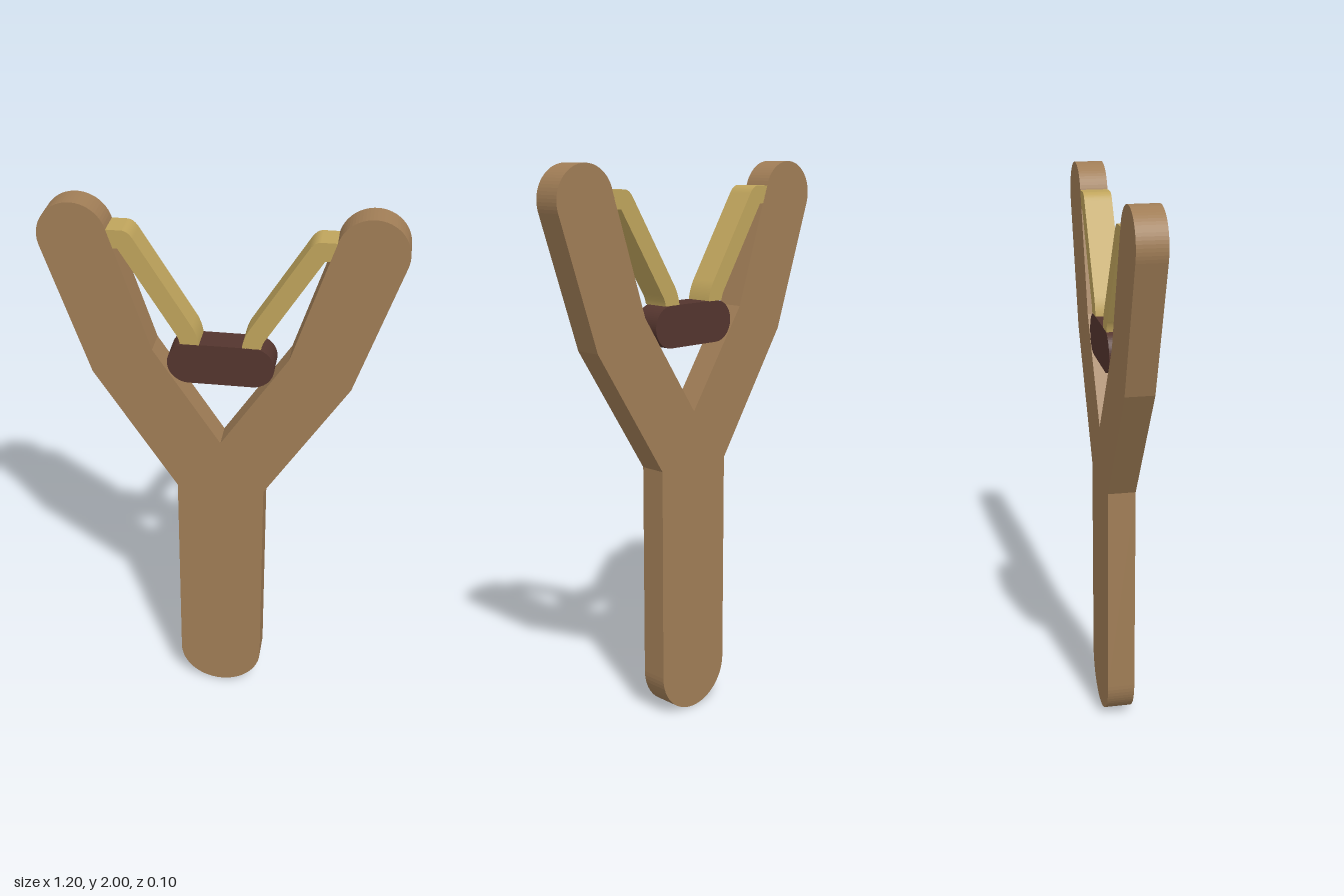
import * as THREE from 'three';

const DEPTH = 0.1;

export function createModel() {
  const model = new THREE.Group();
  model.name = 'slingshot';

  const wood = new THREE.MeshStandardMaterial({ name: 'wood', color: 0xa07d56 });
  const rubber = new THREE.MeshStandardMaterial({ name: 'rubber', color: 0xbfa45c });
  const leather = new THREE.MeshStandardMaterial({ name: 'leather', color: 0x54352e });

  // Every part is a flat plate of the same thickness, centred on z = 0
  function addPlate(name, shape, material) {
    const geometry = new THREE.ExtrudeGeometry(shape, { depth: DEPTH, bevelEnabled: false, curveSegments: 16 });
    geometry.translate(0, 0, -DEPTH / 2);
    const mesh = new THREE.Mesh(geometry, material);
    mesh.name = name;
    model.add(mesh);
  }

  // Y-shaped fork: rounded handle and two bent prongs with round tips
  const handleR = 0.156, tipR = 0.117, tipX = 0.484, tipY = 2 - tipR;
  const lean = Math.atan2(1, 3);
  const fork = new THREE.Shape();
  fork.moveTo(-handleR, handleR);
  fork.absarc(0, handleR, handleR, Math.PI, Math.PI * 2, false);
  fork.lineTo(handleR, 0.94);
  fork.lineTo(0.444, 1.39);
  fork.absarc(tipX, tipY, tipR, -lean, Math.PI - lean, false);
  fork.lineTo(0.233, 1.49);
  fork.lineTo(0, 1.135);
  fork.lineTo(-0.233, 1.49);
  fork.absarc(-tipX, tipY, tipR, lean, Math.PI + lean, false);
  fork.lineTo(-0.444, 1.39);
  fork.lineTo(-handleR, 0.94);
  addPlate('fork', fork, wood);

  // Elastic bands from the prong tips to the pouch, mirrored
  for (const s of [1, -1]) {
    const band = new THREE.Shape();
    band.moveTo(s * 0.373, 1.915);
    band.lineTo(s * 0.318, 1.915);
    band.quadraticCurveTo(s * 0.298, 1.913, s * 0.282, 1.887);
    band.lineTo(s * 0.097, 1.59);
    band.quadraticCurveTo(s * 0.078, 1.56, s * 0.072, 1.52);
    band.lineTo(s * 0.137, 1.52);
    band.quadraticCurveTo(s * 0.141, 1.543, s * 0.153, 1.56);
    band.lineTo(s * 0.335, 1.852);
    band.lineTo(s * 0.352, 1.852);
    addPlate(s > 0 ? 'leftBand' : 'rightBand', band, rubber);
  }

  // Pouch with rounded ends
  const pouchR = 0.074, pouchX = 0.183 - pouchR, pouchY = 1.447;
  const pouch = new THREE.Shape();
  pouch.absarc(pouchX, pouchY, pouchR, -Math.PI / 2, Math.PI / 2, false);
  pouch.absarc(-pouchX, pouchY, pouchR, Math.PI / 2, Math.PI * 1.5, false);
  addPlate('pouch', pouch, leather);

  return model;
}
